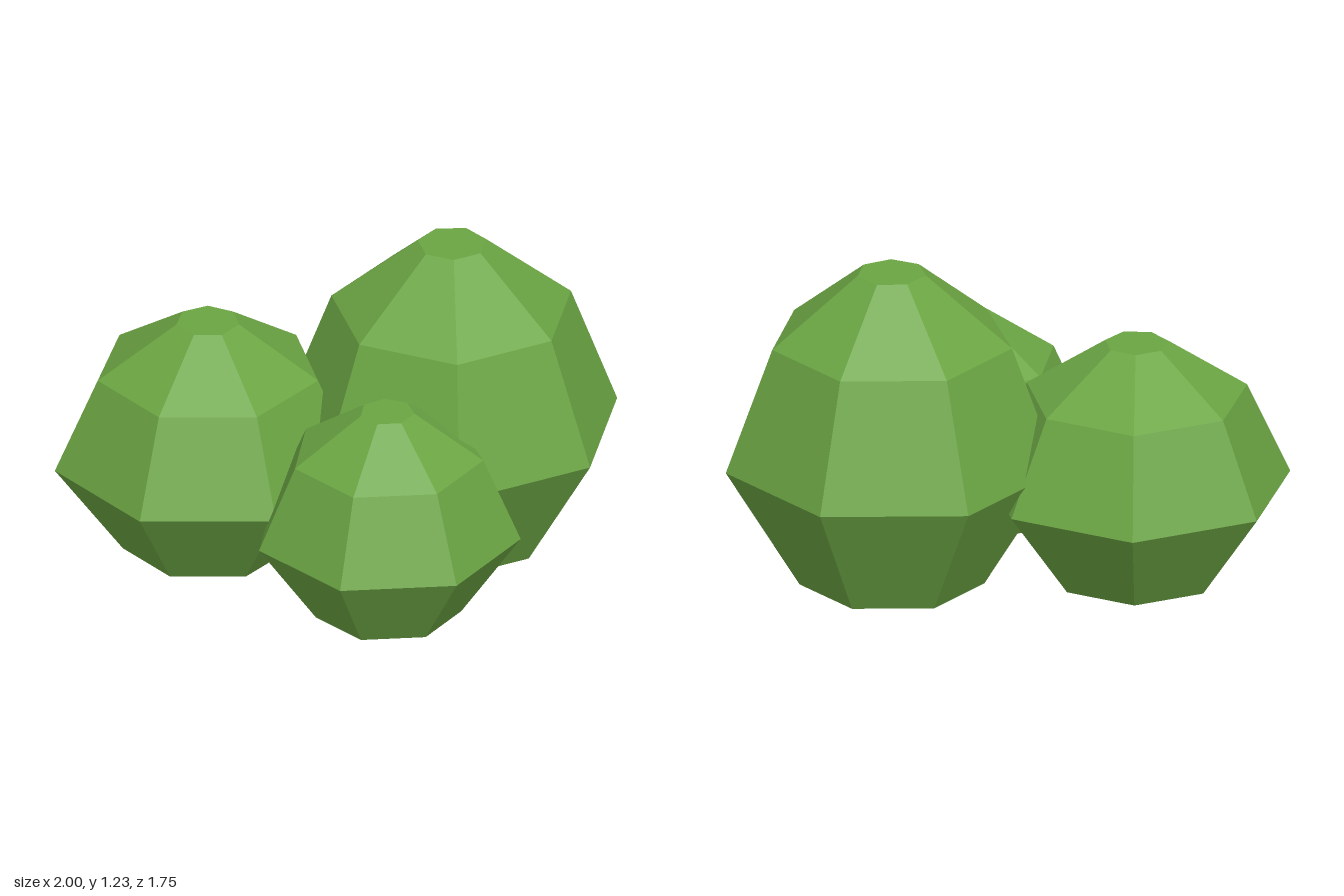
import * as THREE from 'three';

const SIDES = 7;

// Faceted bush: flat base, widest ring, shoulder ring and small flat top
function makeBush(name, material, { x, z, radius, height, angle }) {
  const profile = [
    [0, 0], [0.555, 0], [1, 0.39], [0.72, 0.782], [0.205, 1], [0, 1],
  ].map(([r, y]) => new THREE.Vector2(r * radius, y * height));
  // angle is where one corner points, measured from +x towards +z
  const start = Math.PI / 2 - THREE.MathUtils.degToRad(angle);
  const bush = new THREE.Mesh(new THREE.LatheGeometry(profile, SIDES, start), material);
  bush.name = name;
  bush.position.set(x, 0, z);
  return bush;
}

export function createModel() {
  const leafGreen = new THREE.MeshStandardMaterial({ color: 0x6ba543, flatShading: true });
  leafGreen.name = 'leaf green';

  const group = new THREE.Group();
  group.name = 'bushCluster';
  group.add(
    makeBush('largeBush', leafGreen, { x: 0.41, z: -0.25, radius: 0.64, height: 1.23, angle: 23.4 }),
    makeBush('mediumBush', leafGreen, { x: -0.47, z: 0.01, radius: 0.588, height: 0.93, angle: 0 }),
    makeBush('smallBush', leafGreen, { x: 0.302, z: 0.375, radius: 0.505, height: 0.83, angle: -5.3 }),
  );
  return group;
}
